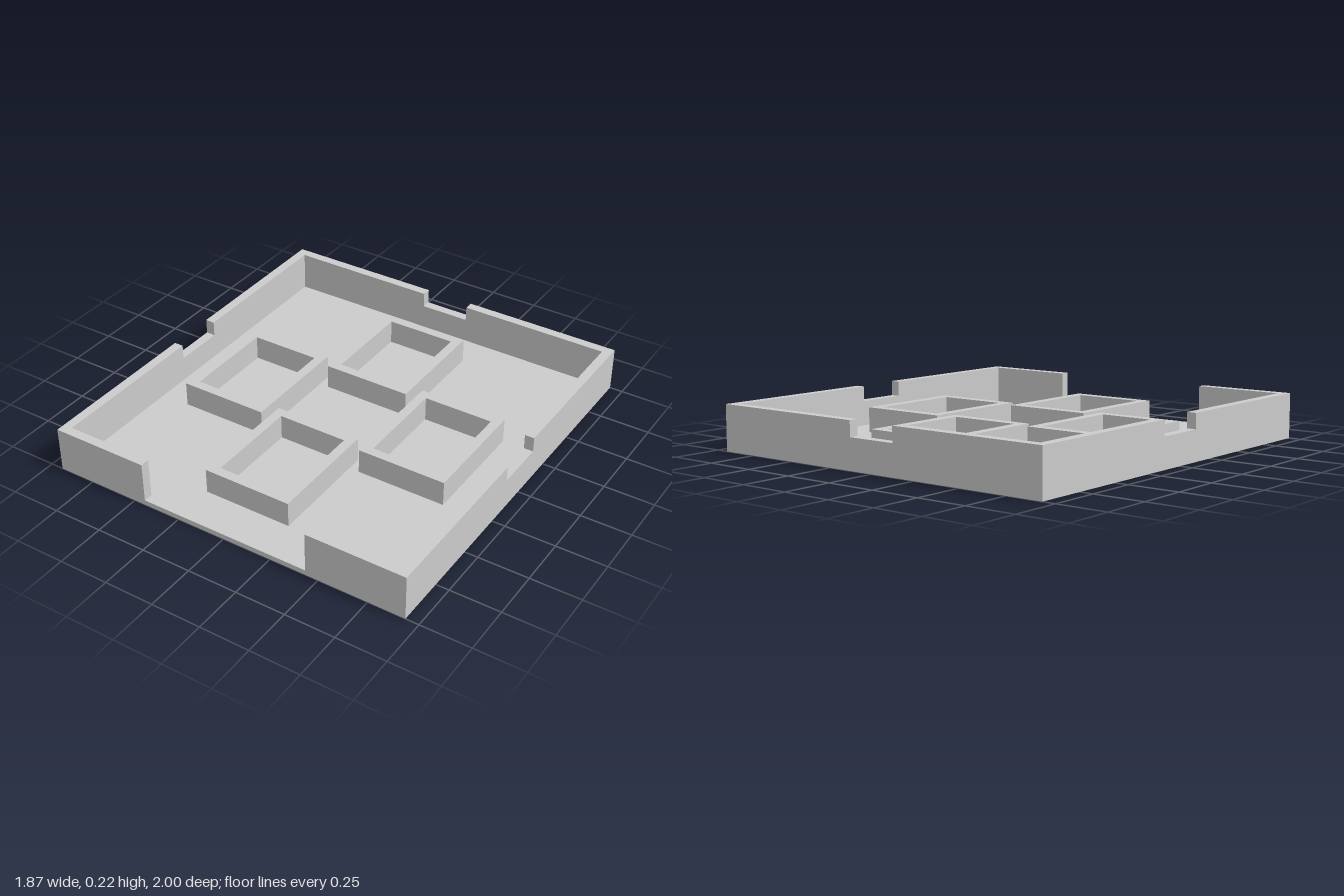
import * as THREE from 'three';

const FLOOR = 0.025, SILL = 0.15, TOP = 0.225;
const X = 0.935, Z = 1, WALL = 0.047;
const material = new THREE.MeshStandardMaterial({ color: 0xcccccc, flatShading: true });

function addMesh(parent, name, geometry, x = 0, y = 0, z = 0) {
  const mesh = new THREE.Mesh(geometry, material);
  mesh.name = name;
  mesh.position.set(x, y, z);
  parent.add(mesh);
  return mesh;
}

function addBox(parent, name, x0, x1, y0, y1, z0, z1) {
  return addMesh(parent, name, new THREE.BoxGeometry(x1 - x0, y1 - y0, z1 - z0),
    (x0 + x1) / 2, (y0 + y1) / 2, (z0 + z1) / 2);
}

// Wall elevation from -half to half with a notch cut into its top edge
function notchedWall(half, n0, n1) {
  const shape = new THREE.Shape([
    [-half, FLOOR], [half, FLOOR], [half, TOP], [n1, TOP],
    [n1, SILL], [n0, SILL], [n0, TOP], [-half, TOP],
  ].map(([u, v]) => new THREE.Vector2(u, v)));
  return new THREE.ExtrudeGeometry(shape, { depth: WALL, bevelEnabled: false });
}

// Counter-clockwise rectangle outline
function rectangle(Type, x0, x1, y0, y1) {
  return new Type([[x0, y0], [x1, y0], [x1, y1], [x0, y1]]
    .map(([x, y]) => new THREE.Vector2(x, y)));
}

// Rectangular open frame standing on the floor
function frame(w, d, t) {
  const shape = rectangle(THREE.Shape, -w / 2, w / 2, -d / 2, d / 2);
  shape.holes.push(rectangle(THREE.Path, -w / 2 + t, w / 2 - t, -d / 2 + t, d / 2 - t));
  const geometry = new THREE.ExtrudeGeometry(shape, { depth: SILL - FLOOR, bevelEnabled: false });
  return geometry.rotateX(-Math.PI / 2);
}

export function createModel() {
  const model = new THREE.Group();
  model.name = 'walledCourt';

  // Base slab
  addBox(model, 'floor', -X, X, 0, FLOOR, -Z, Z);

  // Side walls and back wall, each with a central notch
  const side = notchedWall(Z, -0.128, 0.128).rotateY(-Math.PI / 2);
  addMesh(model, 'leftWall', side, X);
  addMesh(model, 'rightWall', side, -X + WALL);
  addMesh(model, 'backWall', notchedWall(X - WALL, -0.13, 0.122), 0, 0, -Z);

  // Front wall, open to the floor in the middle
  addBox(model, 'frontWallRight', -X + WALL, -0.44, FLOOR, TOP, Z - WALL, Z);
  addBox(model, 'frontWallLeft', 0.435, X - WALL, FLOOR, TOP, Z - WALL, Z);

  // Four open frames arranged in a cross
  const frames = [
    ['frontFrame', -0.017, 0.509],
    ['backFrame', -0.017, -0.492],
    ['leftFrame', 0.484, 0.01],
    ['rightFrame', -0.516, 0.01],
  ];
  const geometry = frame(0.45, 0.574, 0.048);
  for (const [name, x, z] of frames) addMesh(model, name, geometry, x, FLOOR, z);

  return model;
}
